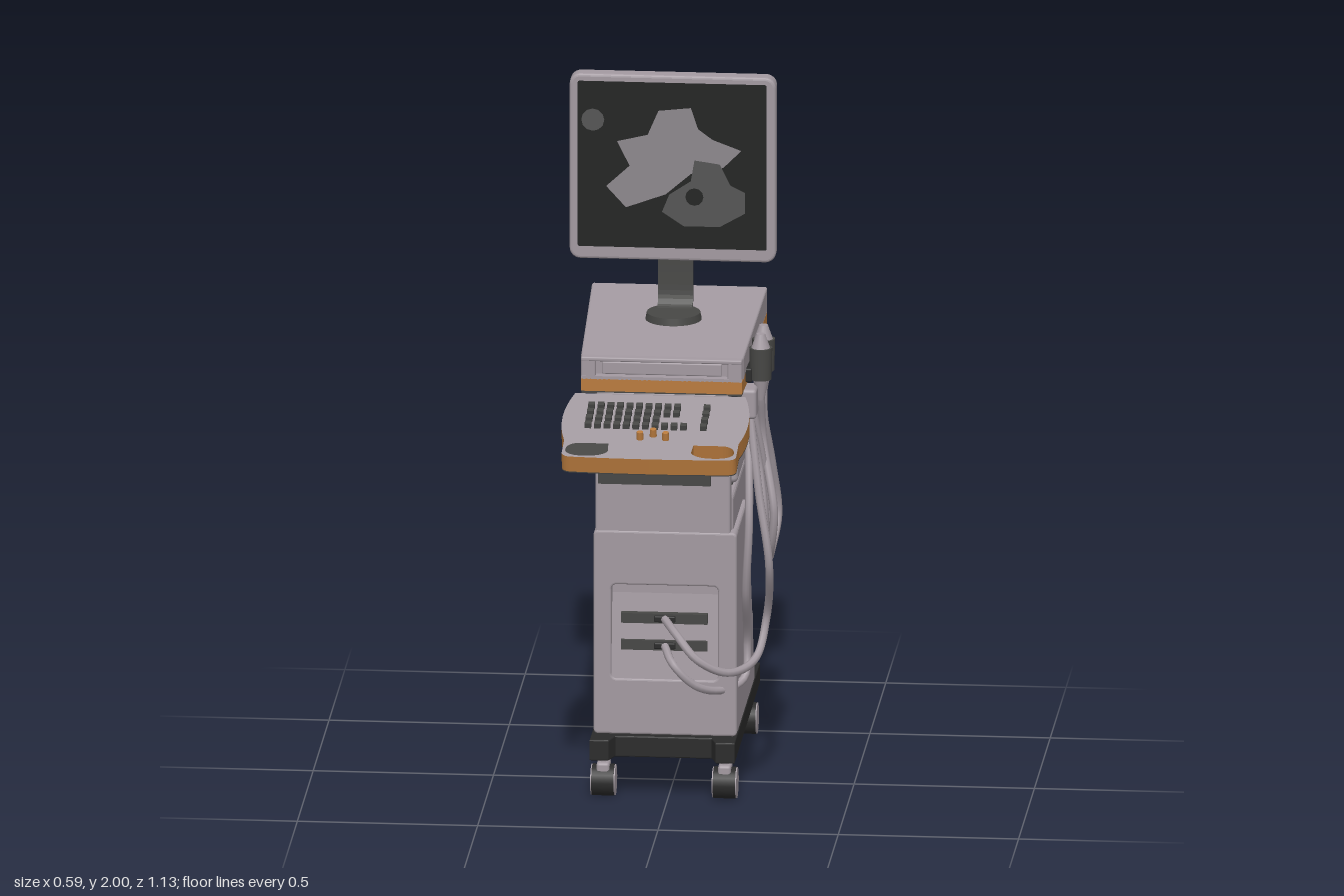
import * as THREE from 'three';
import { RoundedBoxGeometry } from 'three/addons/geometries/RoundedBoxGeometry.js';

const mat = (name, color, side = THREE.FrontSide) => {
  const m = new THREE.MeshStandardMaterial({ color, side });
  m.name = name;
  return m;
};

export function createModel() {
  const root = new THREE.Group();
  const casing = mat('casing grey', 0xa39aa1);
  const orange = mat('orange trim', 0xb97b3e);
  const black = mat('black plastic', 0x2b2b2b);
  const charcoal = mat('charcoal', 0x474745);
  const screenBlack = mat('screen black', 0x232423);
  const scanLight = mat('scan light', 0x8d888d);
  const scanMid = mat('scan mid', 0x555555);

  const add = (name, geo, material, parent = root) => {
    const m = new THREE.Mesh(geo, material);
    m.name = name;
    parent.add(m);
    return m;
  };
  // box given by its limits, optionally rounded
  const box = (name, [x0, x1], [y0, y1], [z0, z1], material, r = 0, parent = root) => {
    const s = [x1 - x0, y1 - y0, z1 - z0];
    const g = r ? new RoundedBoxGeometry(...s, 3, r) : new THREE.BoxGeometry(...s);
    g.translate((x0 + x1) / 2, (y0 + y1) / 2, (z0 + z1) / 2);
    return add(name, g, material, parent);
  };
  const shapeOf = pts => new THREE.Shape(pts.map(p => new THREE.Vector2(...p)));
  const roundRect = (x0, x1, y0, y1, r, T = THREE.Shape) => {
    const s = new T();
    s.absarc(x1 - r, y1 - r, r, 0, Math.PI / 2);
    s.absarc(x0 + r, y1 - r, r, Math.PI / 2, Math.PI);
    s.absarc(x0 + r, y0 + r, r, Math.PI, Math.PI * 1.5);
    s.absarc(x1 - r, y0 + r, r, Math.PI * 1.5, Math.PI * 2);
    s.closePath();
    return s;
  };
  const extrude = (shape, depth, b = 0) => {
    const g = new THREE.ExtrudeGeometry(shape, {
      depth: depth - 2 * b, bevelEnabled: b > 0, bevelSize: b, bevelThickness: b,
      bevelOffset: -b, bevelSegments: 3, curveSegments: 8
    });
    return g.translate(0, 0, b);
  };
  // side profile of [z, y] points, extruded across x
  const across = (pts, x0, x1, b = 0) =>
    extrude(shapeOf(pts), x1 - x0, b).rotateY(-Math.PI / 2).translate(x1, 0, 0);

  // base plate with a notch between the arms at each end
  const plan = shapeOf([[-.213, .24], [-.16, .24], [-.145, .195], [.122, .195], [.137, .24], [.19, .24],
    [.19, -.565], [.15, -.565], [.135, -.515], [.11, -.505], [-.133, -.505], [-.158, -.515], [-.17, -.565], [-.213, -.565]]);
  add('base', extrude(plan, .06, .004).rotateX(Math.PI / 2).translate(0, .18, 0), black);

  // casters
  for (const x of [-.18, .157]) for (const z of [.165, -.475]) {
    const caster = new THREE.Group();
    caster.name = 'caster';
    caster.position.set(x, .045, z);
    root.add(caster);
    const cyl = (name, r, h, m, a = 0, len = Math.PI * 2) =>
      add(name, new THREE.CylinderGeometry(r, r, h, 24, 1, false, a, len).rotateZ(Math.PI / 2), m, caster);
    cyl('wheel', .044, .062, black);
    for (const s of [-1, 1]) cyl('wheelCover', .043, .006, casing).position.x = s * .031;
    box('fork', [-.018, .018], [.02, .055], [-.03, .03], casing, .008, caster);
    add('stem', new THREE.CylinderGeometry(.012, .012, .06, 12), casing, caster).position.y = .06;
  }

  // cabinet core, side skirts and upper column
  add('cabinet', across([[.14, .18], [.14, .86], [-.27, .86], [-.27, .515], [-.5, .345], [-.5, .18]], -.197, .177, .012), casing);
  add('skirt', across([[.125, .18], [.125, .765], [-.16, .765], [-.185, .755], [-.205, .72], [-.4, .18]], -.207, .19, .008), casing);
  box('lid', [-.2, .18], [.866, .955], [-.272, .032], casing, .015);
  box('lidSeam', [-.185, .165], [.855, .87], [-.262, .022], charcoal);
  box('column', [-.203, .172], [.75, 1.165], [.13, .174], casing, .008);

  // front panel with a recess deepest at its top
  const panel = roundRect(-.207, .19, .18, .765, .012);
  panel.holes.push(roundRect(-.158, .138, .34, .61, .015, THREE.Path));
  add('frontPanel', extrude(panel, .06, .006).translate(0, 0, .117), casing);
  add('recessFloor', across([[.1, .335], [.173, .335], [.135, .615], [.1, .615]], -.163, .143), casing);
  for (const y of [.435, .512]) {
    box('connectorSlot', [-.132, .108], [y - .014, y + .014], [.13, .168], charcoal);
    box('connectorPlug', [-.04, .02], [y - .009, y + .009], [.15, .175], black, .004);
  }

  // console, narrowing towards its front
  const taper = g => {
    const p = g.attributes.position;
    for (let i = 0; i < p.count; i++) {
      const t = Math.max(0, (p.getZ(i) + .4) / .575);
      p.setX(i, -.019 + p.getX(i) * (1 - .08 * t * t));
    }
    g.computeVertexNormals();
    return g;
  };
  add('consoleTop', taper(across([[.15, 1.2], [.15, 1.262], [-.4, 1.308], [-.4, 1.233], [.15, 1.199]], -.243, .243, .006)), casing);
  add('consoleBand', taper(across([[.175, 1.165], [.175, 1.2], [-.4, 1.237], [-.4, 1.165]], -.243, .243)), orange);
  add('consoleUnderside', taper(across([[.173, 1.158], [.173, 1.166], [-.398, 1.166], [-.398, 1.158]], -.241, .241)), charcoal);
  box('consoleLip', [-.242, .204], [1.25, 1.262], [.13, .175], casing, .004);
  box('consoleSill', [-.242, .204], [1.199, 1.208], [.13, .175], casing);
  for (const x of [-.242, .164]) box('consoleCorner', [x, x + .04], [1.2, 1.26], [.13, .174], casing, .005);
  box('consoleFrontDrawer', [-.185, .147], [1.21, 1.246], [.14, .16], casing, .004);

  // keyboard deck with two hand grips, sloping down to the front
  const deck = new THREE.Group();
  deck.name = 'keyboard';
  deck.position.set(0, 1.157, .172);
  deck.rotation.x = .182;
  root.add(deck);
  const outline = new THREE.Shape();
  outline.moveTo(-.258, 0);
  outline.quadraticCurveTo(-.3, .15, -.264, .29);
  outline.lineTo(-.264, .37);
  outline.quadraticCurveTo(-.26, .39, -.235, .391);
  outline.quadraticCurveTo(-.02, .402, .195, .391);
  outline.quadraticCurveTo(.218, .39, .22, .37);
  outline.lineTo(.22, .29);
  outline.quadraticCurveTo(.256, .15, .214, 0);
  outline.closePath();
  for (const s of [-1, 1]) {
    const X = x => -.022 + s * x;
    const grip = new THREE.Path();
    grip.moveTo(X(.118), .305);
    grip.lineTo(X(.2), .305);
    grip.quadraticCurveTo(X(.234), .31, X(.234), .35);
    grip.quadraticCurveTo(X(.23), .382, X(.18), .383);
    grip.quadraticCurveTo(X(.125), .382, X(.115), .35);
    grip.closePath();
    outline.holes.push(grip);
  }
  add('keyboardDeck', extrude(outline, .046).rotateX(Math.PI / 2), [casing, orange], deck);
  add('keyboardUnderside', extrude(outline, .003).rotateX(Math.PI / 2).translate(0, -.046, 0), charcoal, deck);
  [10, 10, 9, 11].forEach((n, row) => {
    const z = .087 + row * .039;
    for (let i = 0; i <= n; i++) {
      if (row === 2 && i === 8) continue;
      if (row < 2 && i === n) continue;
      if (row > 1 && i === n) continue;
      const x = -.205 + i * .0265;
      box('key', [x - .009, x + .009], [0, .014], [z - .01, z + .01], charcoal, 0, deck);
    }
    box('functionKey', [.106, .124], [0, .014], [z - .01, z + .01], charcoal, 0, deck);
  });
  for (const [x, z] of [[-.055, .272], [-.02, .252], [.016, .272]])
    add('knob', new THREE.CylinderGeometry(.009, .01, .022, 14), orange, deck).position.set(x, .011, z);

  // thin tray below the keyboard
  box('tray', [-.168, .145], [1.036, 1.044], [.17, .485], charcoal);
  box('trayLip', [-.168, .145], [.99, 1.04], [.482, .487], charcoal);

  // monitor
  add('monitor', extrude(roundRect(-.297, .275, 1.468, 2, .03), .05, .008).translate(0, 0, -.138), casing);
  add('screen', extrude(roundRect(-.274, .25, 1.505, 1.98, .005), .004).translate(0, 0, -.09), screenBlack);
  const scan = (name, pts, z, m) => add(name, new THREE.ShapeGeometry(shapeOf(pts)).translate(0, 0, z), m);
  scan('scanBright', [[-.05, 1.9], [.04, 1.91], [.06, 1.85], [.1, 1.82], [.18, 1.79], [.13, 1.74], [.04, 1.72],
    [-.03, 1.66], [-.14, 1.62], [-.195, 1.68], [-.13, 1.74], [-.165, 1.81], [-.08, 1.83]], -.084, scanLight);
  scan('scanShade', [[.05, 1.76], [.12, 1.75], [.15, 1.69], [.19, 1.67], [.19, 1.61], [.12, 1.57], [.02, 1.57],
    [-.04, 1.61], [-.02, 1.66], [.04, 1.7]], -.0825, scanMid);
  add('scanSpot', new THREE.CircleGeometry(.025, 12).translate(.05, 1.655, -.081), screenBlack);
  add('scanMark', new THREE.CircleGeometry(.032, 12).translate(-.232, 1.87, -.084), scanMid);

  // curved monitor stand
  const path = new THREE.SplineCurve([[-.1, 1.3], [-.16, 1.302], [-.19, 1.33], [-.197, 1.4], [-.197, 1.5],
    [-.188, 1.56], [-.168, 1.58], [-.136, 1.582]].map(p => new THREE.Vector2(...p)));
  const rim = s => Array.from({ length: 33 }, (_, i) => {
    const p = path.getPoint(i / 32), t = path.getTangent(i / 32);
    return [p.x - s * t.y * .007, p.y + s * t.x * .007];
  });
  add('standNeck', across([...rim(1), ...rim(-1).reverse()], -.06, .037), charcoal);
  add('standFoot', new THREE.CylinderGeometry(.074, .078, .02, 32).translate(-.012, 1.3, -.13), charcoal);

  // hand-held probes in holders on the left side
  box('probeRail', [.19, .225], [1.175, 1.215], [-.045, .09], black, .005);
  for (const z of [.065, -.024]) {
    add('probeHolder', new THREE.CylinderGeometry(.032, .03, .09, 16).translate(.247, 1.225, z), charcoal);
    add('probeHead', new THREE.CylinderGeometry(.012, .028, .045, 16).translate(.247, 1.287, z), casing);
    box('probeStripe', [.225, .269], [1.268, 1.274], [z - .008, z + .008], orange);
    add('probeTail', new THREE.CylinderGeometry(.022, .01, .06, 12).translate(.247, 1.15, z), casing);
  }
  box('cableClamp', [.195, .24], [1.08, 1.165], [.05, .13], casing, .01);

  // cables: two to the front sockets, the rest hanging in loops
  const cables = [
    [[-.01, .512, .17], [.03, .49, .25], [.09, .43, .285], [.17, .385, .25], [.24, .4, .15], [.265, .5, .09],
      [.28, .68, .18], [.25, .88, .16], [.22, 1.1, .11]],
    [[-.01, .435, .17], [.02, .4, .24], [.08, .34, .23], [.15, .312, .17], [.205, .33, .1], [.21, .42, .07],
      [.215, .6, .17], [.225, .8, .19], [.215, 1.1, .09]],
    [[.247, 1.13, .065], [.25, 1, .03], [.285, .8, .08], [.27, .67, .04], [.265, .65, -.04], [.28, .74, -.11],
      [.265, .9, -.08], [.247, 1.05, -.03], [.247, 1.13, -.024]],
    [[.215, 1.1, .1], [.24, .95, .07], [.26, .8, .09], [.265, .7, .05], [.27, .74, .01], [.25, .95, .05], [.225, 1.1, .08]]
  ];
  for (const pts of cables) {
    const curve = new THREE.CatmullRomCurve3(pts.map(p => new THREE.Vector3(...p)));
    add('cable', new THREE.TubeGeometry(curve, 70, .0115, 8), casing);
  }
  return root;
}
